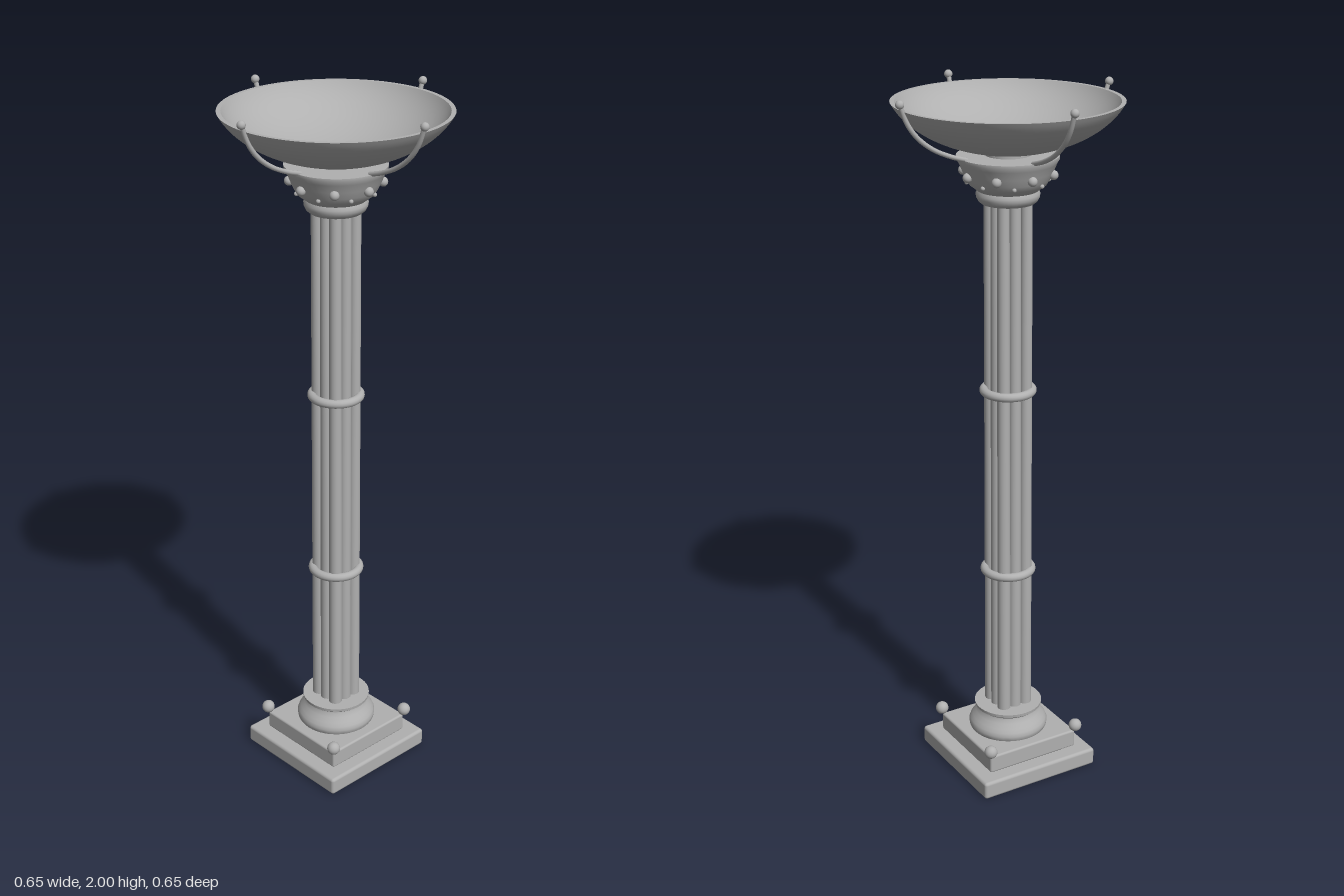
import * as THREE from 'three';
import { toCreasedNormals } from 'three/addons/utils/BufferGeometryUtils.js';
import { RoundedBoxGeometry } from 'three/addons/geometries/RoundedBoxGeometry.js';

export function createModel() {
  const model = new THREE.Group();
  const stone = new THREE.MeshStandardMaterial({ color: 0xb0b0b0 });
  stone.name = 'grey stone';

  function add(name, geometry, x = 0, y = 0, z = 0) {
    const mesh = new THREE.Mesh(geometry, stone);
    mesh.name = name;
    mesh.position.set(x, y, z);
    model.add(mesh);
    return mesh;
  }
  const lathe = (points, segments = 48) => toCreasedNormals(
    new THREE.LatheGeometry(points.map(([r, y]) => new THREE.Vector2(r, y)), segments), 0.6);
  const ball = (r) => new THREE.SphereGeometry(r, 20, 14);

  // Stepped square base with a ball at each corner
  add('plinth', new RoundedBoxGeometry(0.376, 0.053, 0.376, 3, 0.009), 0, 0.0265, 0);
  add('upperStep', new RoundedBoxGeometry(0.29, 0.054, 0.29, 3, 0.006), 0, 0.08, 0);
  for (const x of [-1, 1]) for (const z of [-1, 1]) {
    add('cornerBall', ball(0.019), x * 0.145, 0.125, z * 0.145);
  }

  // Round moulded foot
  add('columnFoot', lathe([
    [0, 0.1], [0.108, 0.1], [0.114, 0.11], [0.116, 0.122], [0.112, 0.132], [0.105, 0.142],
    [0.095, 0.155], [0.089, 0.165], [0.088, 0.17], [0.098, 0.178], [0.099, 0.187], [0, 0.187],
  ]));

  // Clustered shaft: a square grid of slightly tapered rods
  for (const x of [-1, 0, 1]) for (const z of [-1, 0, 1]) {
    add('shaftRod', new THREE.CylinderGeometry(0.0165, 0.0195, 1.54, 20, 1, true),
      x * 0.0355, 0.95, z * 0.0355);
  }

  // Two binding rings
  for (const y of [0.622, 1.17]) {
    const ring = add('shaftRing', new THREE.TorusGeometry(0.067, 0.0125, 14, 48), 0, y, 0);
    ring.rotation.x = Math.PI / 2;
  }

  // Flared capital
  add('capital', lathe([
    [0, 1.7], [0.073, 1.7], [0.08, 1.706], [0.085, 1.716], [0.086, 1.725], [0.082, 1.734],
    [0.092, 1.742], [0.103, 1.75], [0.112, 1.765], [0.121, 1.785], [0.13, 1.807],
    [0.137, 1.819], [0.137, 1.827], [0, 1.827],
  ]));
  for (let i = 0; i < 8; i++) {
    const a = i * Math.PI / 4, b = a + Math.PI / 8;
    add('capitalStud', ball(0.013), 0.123 * Math.sin(a), 1.779, 0.123 * Math.cos(a));
    add('smallStud', ball(0.006), 0.11 * Math.sin(b), 1.757, 0.11 * Math.cos(b));
  }
  add('bowlStem', new THREE.CylinderGeometry(0.06, 0.06, 0.025, 32), 0, 1.833, 0);

  // Open bowl: outer wall, flat rim, inner wall
  const profile = [];
  const steps = 24, tMax = 1.25;
  const arc = (t, r, depth) => [
    r * Math.sin(t) / Math.sin(tMax),
    1.97 - depth * (Math.cos(t) - Math.cos(tMax)) / (1 - Math.cos(tMax)),
  ];
  for (let i = 0; i <= steps; i++) profile.push(arc(tMax * i / steps, 0.307, 0.136));
  for (let i = steps; i >= 0; i--) profile.push(arc(tMax * i / steps, 0.295, 0.124));
  add('bowl', lathe(profile, 64));

  // Four curved arms with ball tips cradling the bowl
  const path = new THREE.CatmullRomCurve3([
    [0.125, 1.826], [0.175, 1.842], [0.225, 1.866], [0.268, 1.9], [0.297, 1.94], [0.315, 1.987],
  ].map(([x, y]) => new THREE.Vector3(x, y, 0)));
  for (let i = 0; i < 4; i++) {
    const arm = new THREE.Group();
    arm.name = 'bowlArm';
    const rod = new THREE.Mesh(new THREE.TubeGeometry(path, 32, 0.0065, 10), stone);
    rod.name = 'armRod';
    const tip = new THREE.Mesh(ball(0.0115), stone);
    tip.name = 'armTip';
    tip.position.set(0.316, 1.9885, 0);
    arm.add(rod, tip);
    arm.rotation.y = i * Math.PI / 2;
    model.add(arm);
  }
  return model;
}
